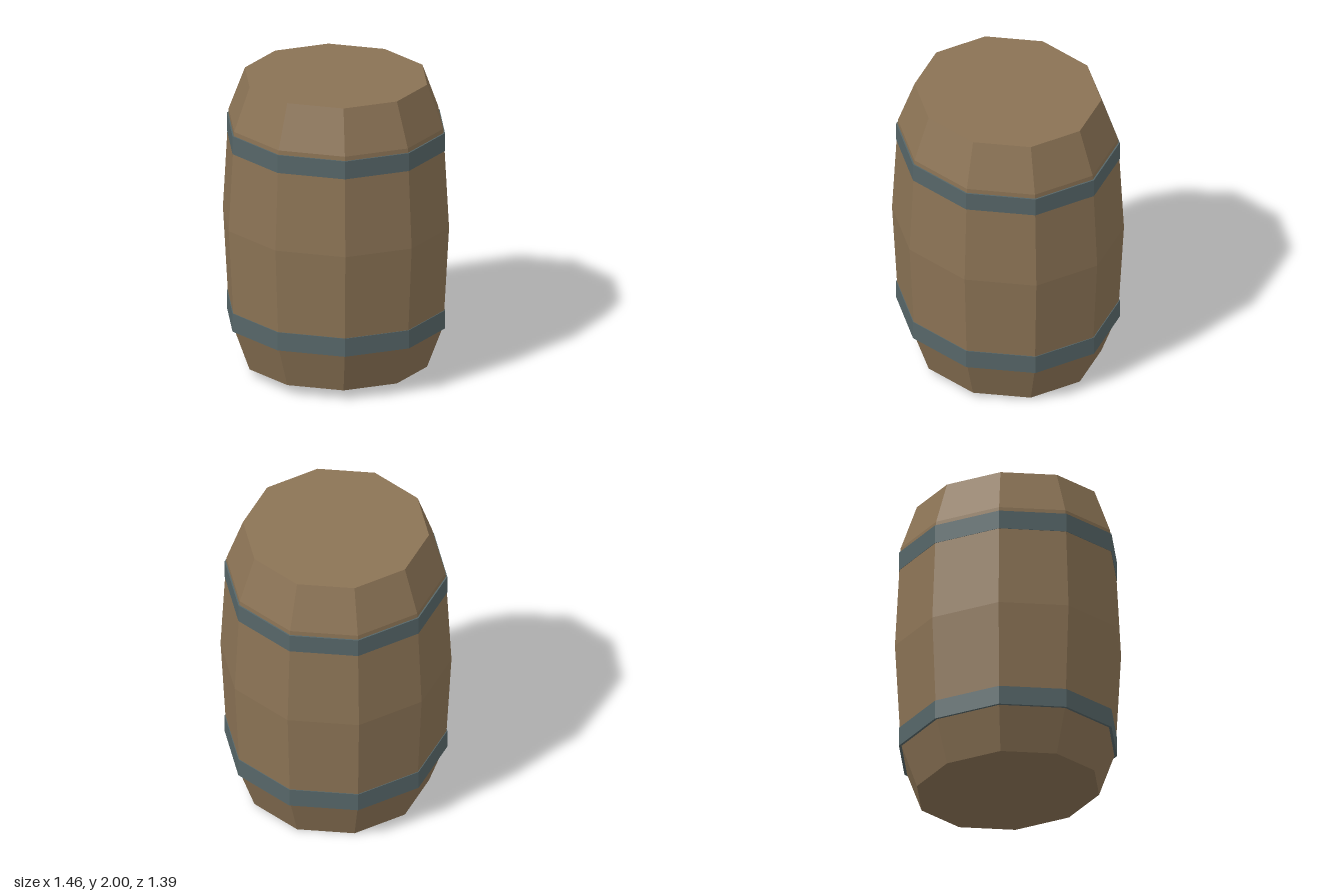
import * as THREE from 'three';

const SIDES = 10;
const TILT = 0.06; // the barrel leans: height rises toward the front

// Ten-sided turned part from a bottom-to-top profile, sheared along z
function turned(name, profile, material) {
  const points = profile.map(([r, y]) => new THREE.Vector2(r, y));
  const geometry = new THREE.LatheGeometry(points, SIDES, Math.PI / 2);
  const shear = new THREE.Matrix4().set(
    1, 0, 0, 0,
    0, 1, TILT, 0,
    0, 0, 1, 0,
    0, 0, 0, 1
  );
  geometry.applyMatrix4(shear);
  const mesh = new THREE.Mesh(geometry, material);
  mesh.name = name;
  return mesh;
}

export function createModel() {
  const wood = new THREE.MeshStandardMaterial({ name: 'wood', color: 0x8b7355, flatShading: true });
  const iron = new THREE.MeshStandardMaterial({ name: 'iron', color: 0x566668, flatShading: true });

  const barrel = new THREE.Group();
  barrel.name = 'barrel';

  // Wooden body with closed ends
  barrel.add(turned('body', [
    [0, 0.034], [0.588, 0.034], [0.693, 0.325], [0.73, 1.0],
    [0.693, 1.675], [0.588, 1.966], [0, 1.966],
  ], wood));

  // Iron hoops
  const hoops = [['lowerHoop', 0.308, 0.432], ['upperHoop', 1.524, 1.646]];
  for (const [name, y0, y1] of hoops) {
    barrel.add(turned(name, [[0.66, y0], [0.704, y0], [0.704, y1], [0.66, y1]], iron));
  }

  return barrel;
}
